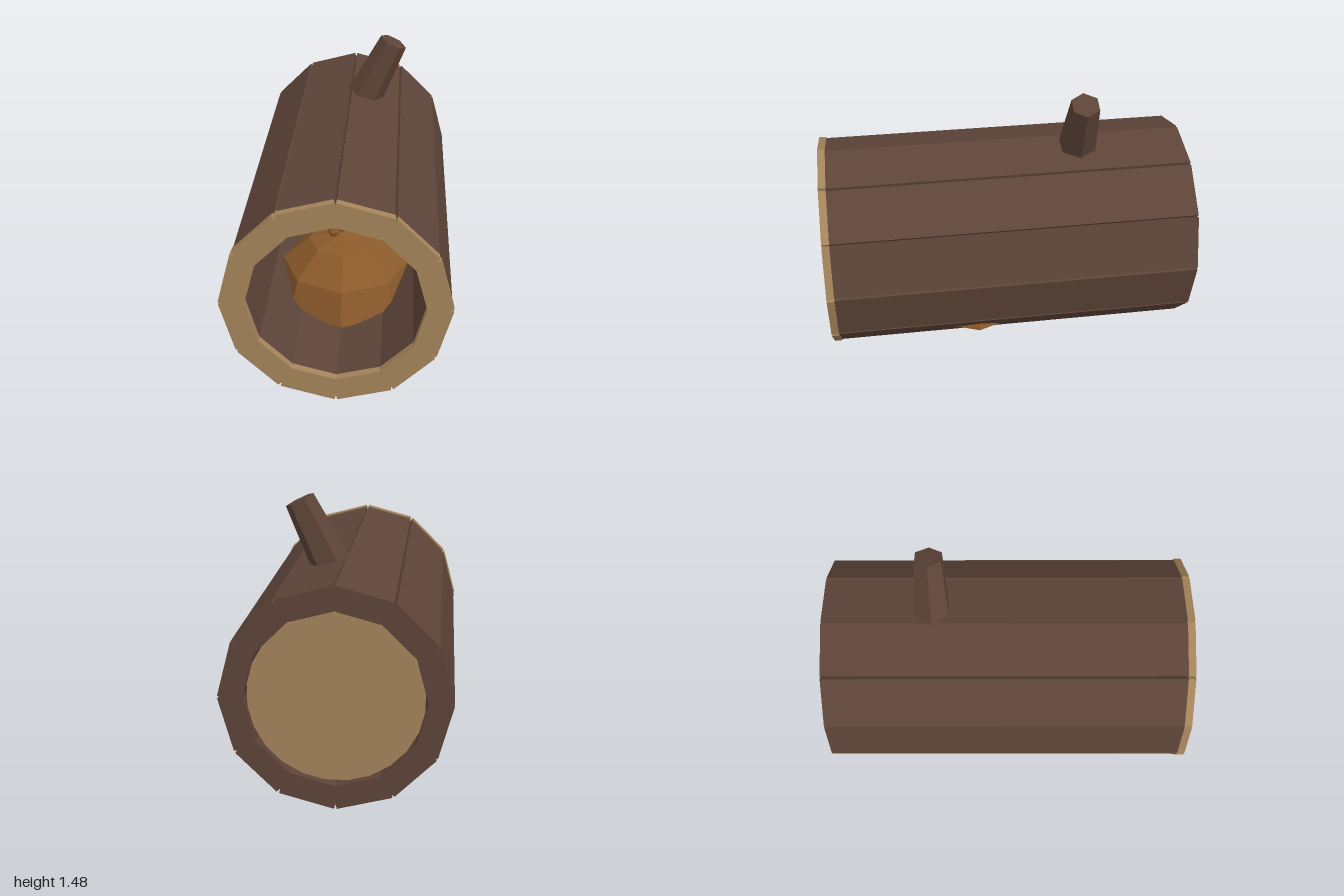
import * as THREE from 'three';

const mat = (name, color) => {
  const m = new THREE.MeshStandardMaterial({ color });
  m.name = name;
  return m;
};

export function createModel() {
  const bark = mat('bark', 0x5d4438);
  const wood = mat('cutWood', 0xa5845b);
  const leaf = mat('leafBrown', 0x8b5a2b);
  const model = new THREE.Group();
  model.name = 'hollowLog';
  const CY = 0.583, INNER = 0.435;

  const add = (parent, name, geo, material, x = 0, y = 0, z = 0) => {
    const g = geo.index ? geo.toNonIndexed() : geo;
    g.computeVertexNormals();
    const mesh = new THREE.Mesh(g, material);
    mesh.name = name;
    mesh.position.set(x, y, z);
    parent.add(mesh);
    return mesh;
  };

  // Twelve planks around the axis, with narrow V gaps at the outer corners
  const ring = (name, outer, width, z0, z1, material) => {
    const group = new THREE.Group();
    group.name = name;
    group.position.y = CY;
    for (let i = 0; i < 12; i++) {
      const a = THREE.MathUtils.degToRad(15 + 30 * i);
      const r = (outer + INNER) / 2;
      const geo = new THREE.BoxGeometry(outer - INNER, width, z1 - z0);
      const plank = add(group, name + 'Plank', geo, material,
        Math.cos(a) * r, Math.sin(a) * r, (z0 + z1) / 2);
      plank.rotation.z = a;
    }
    model.add(group);
  };
  ring('barkWall', 0.557, 0.284, -1, 0.96, bark);
  ring('frontRim', 0.564, 0.287, 0.96, 1, wood);

  // Recessed disc closing the back
  const disc = new THREE.CylinderGeometry(0.45, 0.45, 0.04, 12);
  disc.rotateY(Math.PI / 12).rotateX(Math.PI / 2);
  add(model, 'backDisc', disc, wood, 0, CY, -0.94);

  // Tapered branch stub leaning to the left
  const stub = new THREE.CylinderGeometry(0.08, 0.11, 0.42, 6);
  stub.rotateY(Math.PI / 6).translate(0, -0.21, 0).rotateZ(-0.45);
  add(model, 'branchStub', stub, bark, 0.243, 1.45, -0.41);

  // Faceted leaf mound inside, with a flat base
  const mound = new THREE.SphereGeometry(0.41, 8, 3, 0, Math.PI * 2, 0, Math.PI / 2);
  mound.scale(1, 0.375 / 0.41, 1);
  add(model, 'leafMound', mound, leaf, 0, 0.155, 0.18);
  const base = new THREE.CircleGeometry(0.41, 8);
  base.rotateX(Math.PI / 2);
  add(model, 'moundBase', base, leaf, 0, 0.155, 0.18);

  // Two small nuts on top of the mound
  for (const [x, y, z, r] of [[-0.063, 0.538, 0.2, 0.034], [-0.018, 0.548, 0.17, 0.03]]) {
    add(model, 'nut', new THREE.SphereGeometry(r, 6, 4), leaf, x, y, z);
  }
  return model;
}
